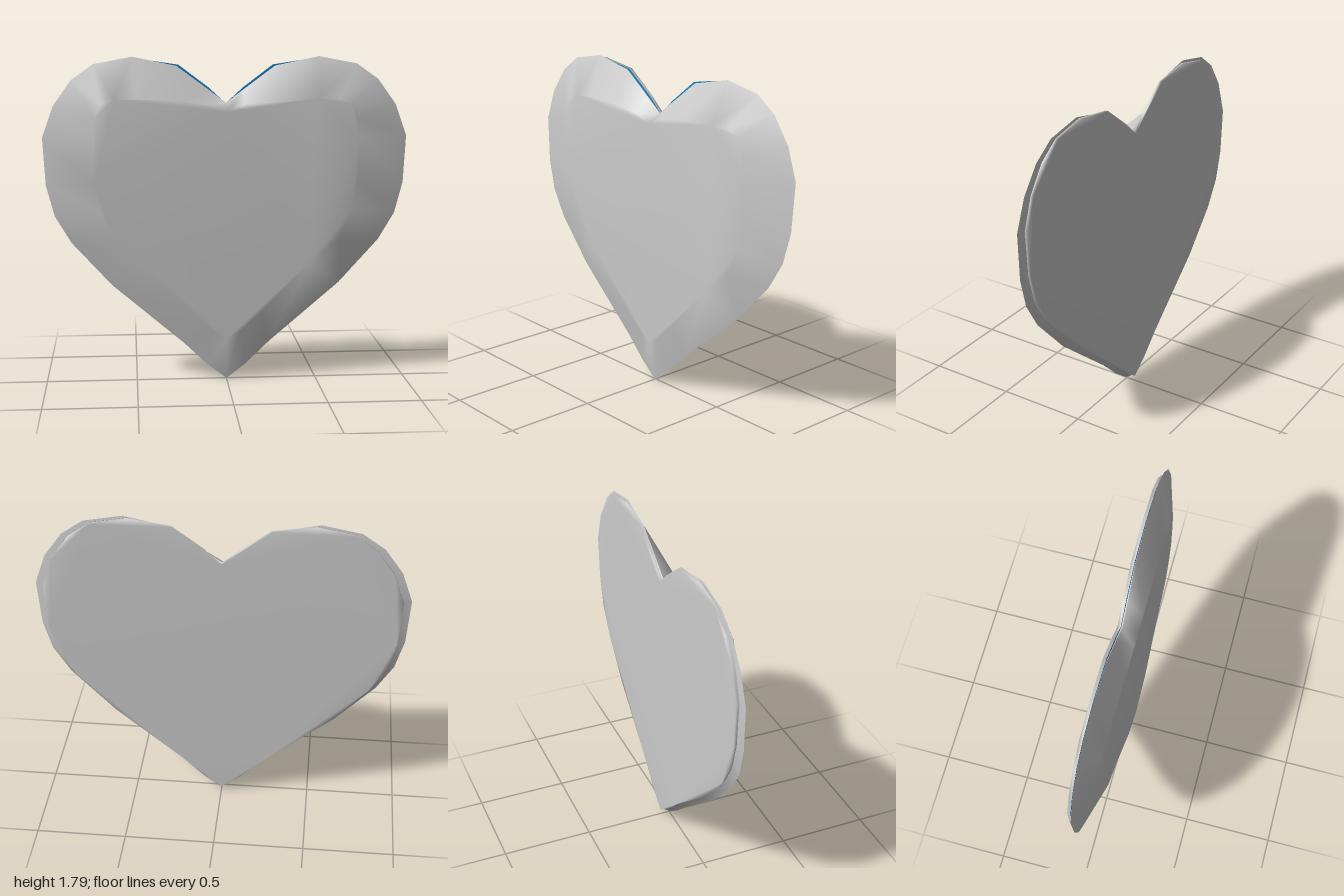
import * as THREE from 'three';

// right half of the rim, from the bottom tip up to the notch
const RIM = [
  [0, 0], [0.11, 0.085], [0.24, 0.21], [0.63, 0.54], [0.85, 0.78], [0.94, 0.93], [0.985, 1.1],
  [1, 1.36], [0.94, 1.53], [0.84, 1.67], [0.72, 1.755], [0.51, 1.795], [0.27, 1.745], [0.1, 1.62], [0, 1.545],
];
// matching right half of the raised front plateau
const PLATEAU = [
  [0, 0.24], [0.07, 0.28], [0.19, 0.39], [0.46, 0.67], [0.62, 0.8], [0.69, 0.96], [0.72, 1.12],
  [0.72, 1.36], [0.71, 1.47], [0.68, 1.54], [0.61, 1.57], [0.49, 1.57], [0.26, 1.56], [0.09, 1.54], [0, 1.5],
];

// mirror a half outline into a full counter-clockwise loop, with depth zOf(y)
function heartLoop(half, zOf) {
  const right = half.map(([x, y]) => new THREE.Vector3(x, y, zOf(y)));
  const left = right.slice(1, -1).reverse().map((p) => new THREE.Vector3(-p.x, p.y, p.z));
  return [...right, ...left];
}

// skin loops ordered from back to front, optionally capping either end
function loft(loops, { capFront = false, capBack = false } = {}) {
  const n = loops[0].length;
  const index = [];
  for (let k = 0; k < loops.length - 1; k++) {
    for (let i = 0; i < n; i++) {
      const j = (i + 1) % n;
      const a = k * n + i, b = k * n + j, c = a + n, d = b + n;
      index.push(a, b, d, a, d, c);
    }
  }
  const fill = (k, flip) => {
    const flat = loops[k].map((p) => new THREE.Vector2(p.x, p.y));
    for (const [a, b, c] of THREE.ShapeUtils.triangulateShape(flat, [])) {
      index.push(k * n + a, k * n + (flip ? c : b), k * n + (flip ? b : c));
    }
  };
  if (capFront) fill(loops.length - 1, false);
  if (capBack) fill(0, true);
  const geometry = new THREE.BufferGeometry().setFromPoints(loops.flat());
  geometry.setIndex(index);
  geometry.computeVertexNormals();
  return geometry;
}

export function createModel() {
  const group = new THREE.Group();
  group.name = 'heart';
  const grey = new THREE.MeshStandardMaterial({ color: 0xcccccc });
  const greyOpen = new THREE.MeshStandardMaterial({ color: 0xcccccc, side: THREE.DoubleSide });
  const blue = new THREE.MeshStandardMaterial({ color: 0x1482c8 });
  const add = (name, geometry, material) => {
    const mesh = new THREE.Mesh(geometry, material);
    mesh.name = name;
    group.add(mesh);
  };

  // the rim leans slightly backwards towards the top
  const rim = heartLoop(RIM, (y) => 0.005 - 0.022 * y);
  const plateau = heartLoop(PLATEAU, (y) => (y < 0.35 ? 0.05 : 0.055));
  add('frontDome', loft([rim, plateau], { capFront: true }), greyOpen);

  // chamfer from the rim back to the plate
  const inset = RIM.map(([x, y]) => [x * 0.957, 0.03 + y * 0.978]);
  add('rimUnderside', loft([heartLoop(inset, () => -0.036), rim]), greyOpen);

  // backing plate, a little proud of the rim beside the notch
  const plate = inset.map(([x, y], i) => [x, y + (i === 12 || i === 13 ? 0.014 : 0)]);
  const plateBack = heartLoop(plate, () => -0.055);
  const plateFront = heartLoop(plate, () => -0.038);
  add('backPlate', loft([plateBack, plateFront], { capBack: true }), grey);
  add('blueBacking', loft([plateFront], { capFront: true }), blue);

  return group;
}
